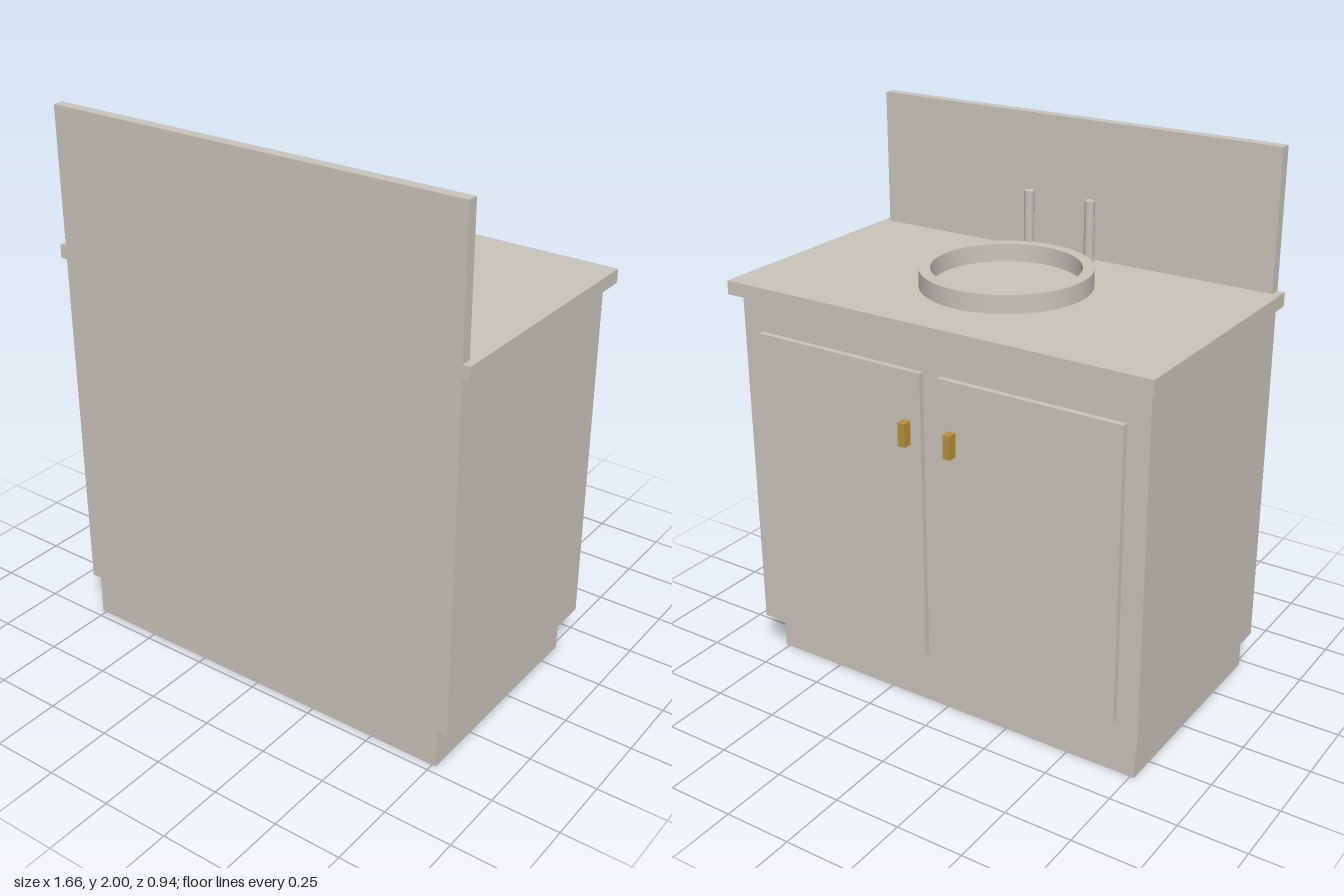
import * as THREE from 'three';
import { toCreasedNormals } from 'three/addons/utils/BufferGeometryUtils.js';

const stone = new THREE.MeshStandardMaterial({ color: 0xc8c5bc, side: THREE.DoubleSide });
stone.name = 'warmGrey';
const brass = new THREE.MeshStandardMaterial({ color: 0xb8923a });
brass.name = 'brass';

// Box given by its extents; openBottom leaves out the underside
function box(name, [x0, x1], [y0, y1], [z0, z1], material = stone, openBottom = false) {
  const geometry = new THREE.BoxGeometry(x1 - x0, y1 - y0, z1 - z0);
  if (openBottom) {
    const index = Array.from(geometry.index.array);
    index.splice(18, 6);
    geometry.setIndex(index);
    geometry.clearGroups();
  }
  const mesh = new THREE.Mesh(geometry, material);
  mesh.name = name;
  mesh.position.set((x0 + x1) / 2, (y0 + y1) / 2, (z0 + z1) / 2);
  return mesh;
}

// Upstanding round rim of the basin
function basinRim() {
  const shape = new THREE.Shape().absarc(0, 0, 0.3, 0, Math.PI * 2, false);
  shape.holes.push(new THREE.Path().absarc(0, 0, 0.26, 0, Math.PI * 2, true));
  const geometry = new THREE.ExtrudeGeometry(shape, { depth: 0.065, bevelEnabled: false, curveSegments: 48 });
  geometry.rotateX(-Math.PI / 2);
  const mesh = new THREE.Mesh(toCreasedNormals(geometry, Math.PI / 5), stone);
  mesh.name = 'basinRim';
  mesh.position.set(0, 1.5, 0.025);
  return mesh;
}

export function createModel() {
  const group = new THREE.Group();
  group.name = 'washstand';
  const back = 0.47;

  // Cabinet, recessed plinth, worktop and splashback share one back plane
  group.add(
    box('plinth', [-0.765, 0.765], [0, 0.15], [-0.36, back], stone, true),
    box('cabinet', [-0.803, 0.803], [0.15, 1.45], [-0.42, back], stone, true),
    box('worktop', [-0.83, 0.83], [1.45, 1.5], [-0.465, back]),
    box('splashback', [-0.803, 0.803], [1.5, 2], [0.43, back]),
    basinRim()
  );

  // Mirrored doors, handles and taps
  for (const side of [1, -1]) {
    const label = side > 0 ? 'left' : 'right';
    const span = (a, b) => (side > 0 ? [a, b] : [-b, -a]);
    group.add(
      box(label + 'Door', span(0.035, 0.722), [0.25, 1.32], [-0.44, -0.42]),
      box(label + 'Handle', span(0.077, 0.105), [1.057, 1.143], [-0.474, -0.44], brass)
    );
    const tap = new THREE.Mesh(new THREE.CylinderGeometry(0.019, 0.019, 0.235, 8), stone);
    tap.name = label + 'Tap';
    tap.position.set(side * 0.125, 1.6175, 0.366);
    group.add(tap);
  }
  return group;
}
